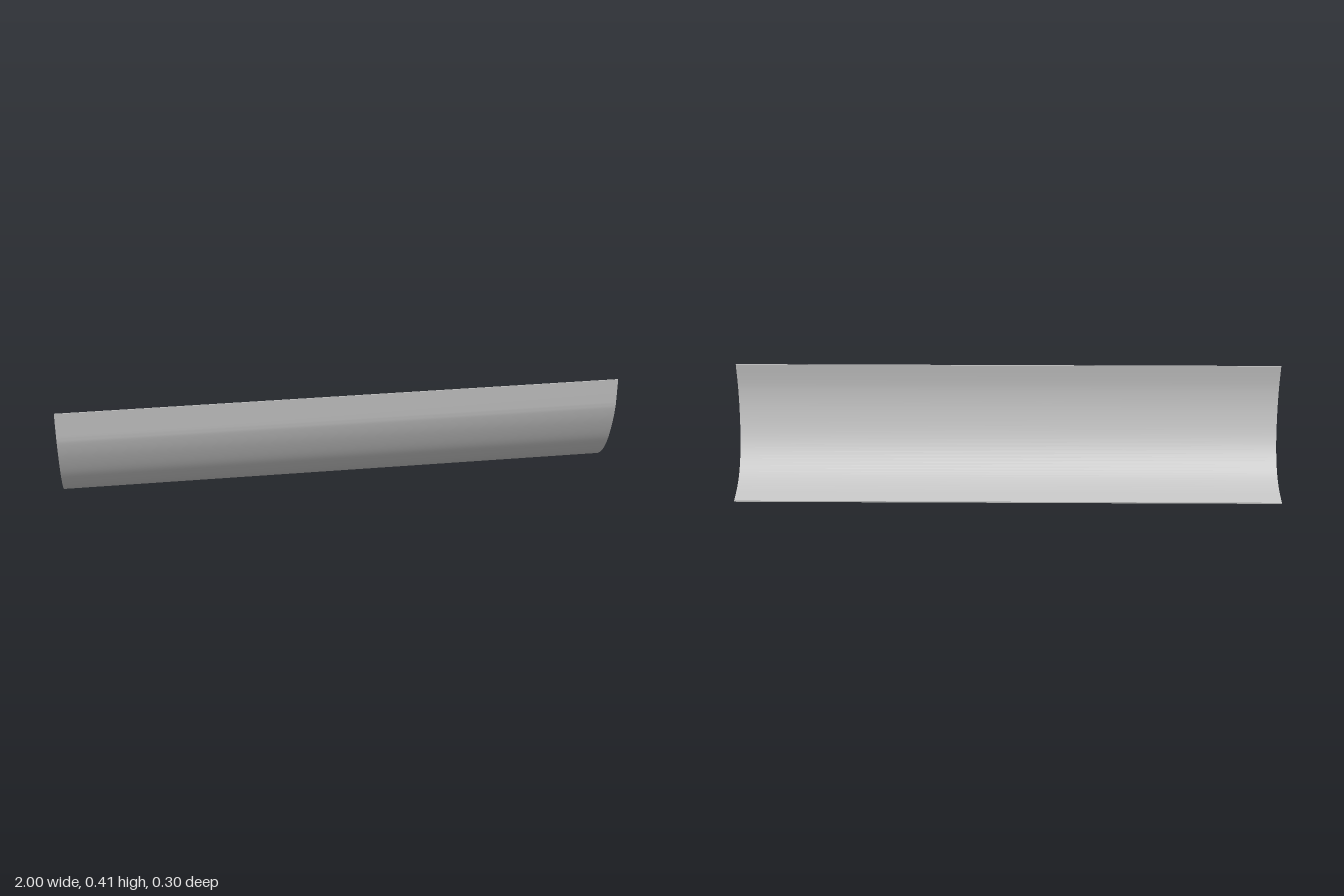
import * as THREE from 'three';
import { toCreasedNormals } from 'three/addons/utils/BufferGeometryUtils.js';

// Profile points are [z, y]; the shape plane uses -z as its horizontal axis.
const toPlane = ([z, y]) => new THREE.Vector2(-z, y);
const smooth = (points, n) => new THREE.SplineCurve(points.map(toPlane)).getPoints(n);

export function createModel() {
  const group = new THREE.Group();
  group.name = 'curvedPanel';

  // Convex outer face, between the flat upper lip and the flat foot
  const outer = smooth([
    [0.15, 0.32], [0.148, 0.29], [0.134, 0.23], [0.106, 0.153], [0.074, 0.097],
    [0.038, 0.054], [-0.006, 0.021], [-0.042, 0.007], [-0.072, 0.001],
  ], 32);

  // Concave inner face, from the back edge up to the top edge
  const inner = smooth([
    [-0.15, 0.005], [-0.11, 0.007], [-0.078, 0.01], [-0.042, 0.018], [-0.006, 0.034],
    [0.033, 0.064], [0.069, 0.106], [0.099, 0.161], [0.125, 0.233],
    [0.14, 0.3], [0.145, 0.353], [0.147, 0.406],
  ], 44);

  const shape = new THREE.Shape([
    toPlane([0.15, 0.406]), ...outer, toPlane([-0.15, 0]), ...inner,
  ]);

  // Sweep the section along the full width
  const geometry = new THREE.ExtrudeGeometry(shape, { depth: 2, bevelEnabled: false, steps: 1 });
  geometry.translate(0, 0, -1);
  geometry.rotateY(Math.PI / 2);

  const panel = new THREE.Mesh(
    toCreasedNormals(geometry, 0.3),
    new THREE.MeshStandardMaterial({ color: 0xcccccc }),
  );
  panel.name = 'panel';
  group.add(panel);
  return group;
}
